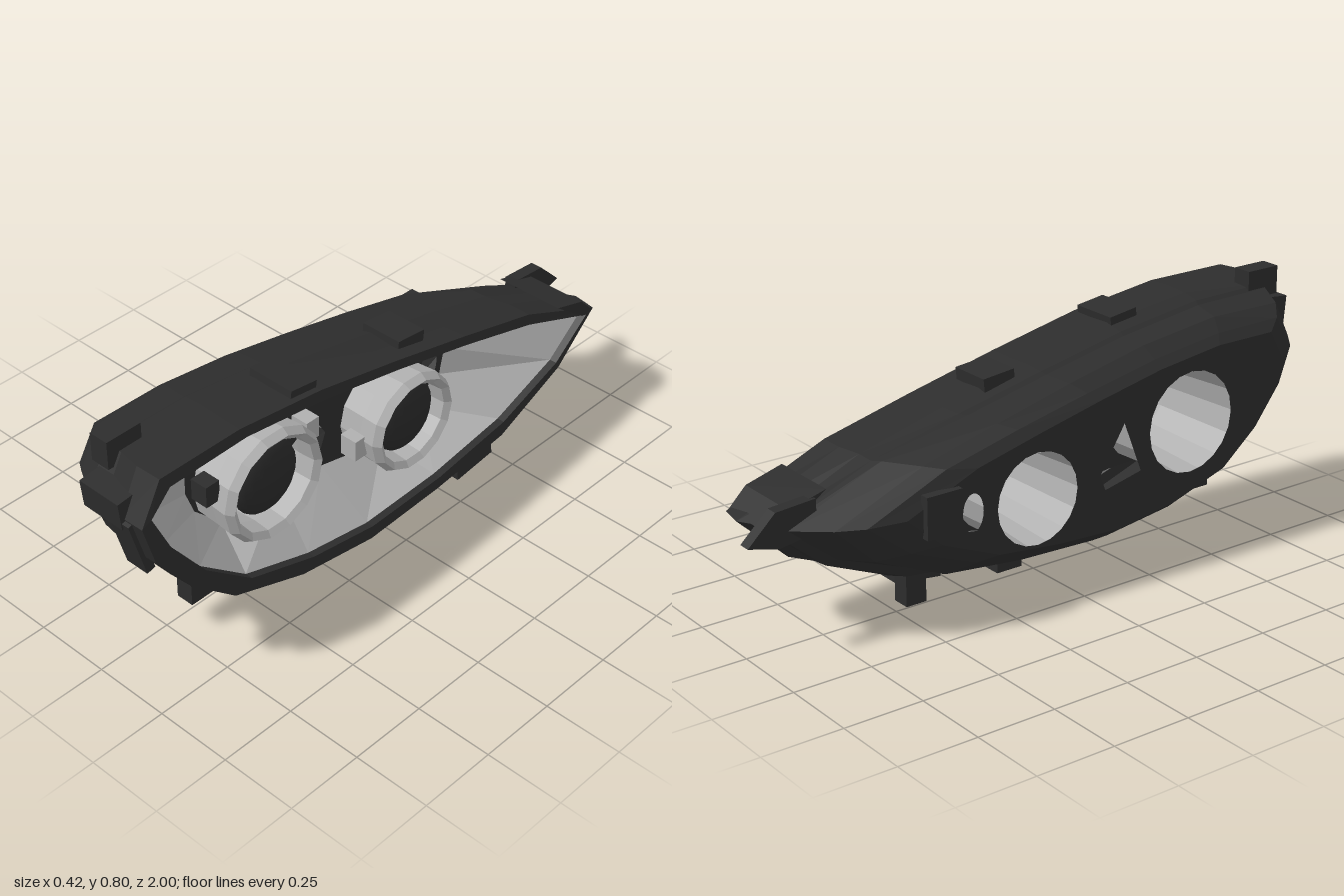
import * as THREE from 'three';

const mat = (name, color, flat = true) => {
  const m = new THREE.MeshStandardMaterial({ color, flatShading: flat, side: THREE.DoubleSide });
  m.name = name;
  return m;
};

// Outlines as [z, y], running from the nose along the top to the tail and back underneath
const OUTER = [[.98, .62], [.91, .75], [.62, .75], [.31, .71], [0, .645], [-.3, .575], [-.6, .5], [-.93, .36],
  [-.77, .21], [-.5, .09], [-.2, .055], [.1, .04], [.39, .085], [.66, .18], [.82, .32], [.94, .48]];
const OPENING = [[.95, .64], [.88, .71], [.6, .715], [.3, .675], [0, .615], [-.3, .545], [-.6, .465], [-.89, .355],
  [-.75, .24], [-.5, .145], [-.2, .1], [.1, .09], [.35, .13], [.6, .21], [.77, .35], [.89, .51]];
const FLOOR = [[.66, .57], [.62, .6], [.5, .63], [.27, .6], [0, .53], [-.22, .47], [-.38, .44], [-.43, .37],
  [-.41, .28], [-.33, .2], [-.15, .165], [.12, .225], [.3, .25], [.53, .26], [.63, .36], [.66, .44]];
// Lamp centres, the reflector radius at the back and the lip radius
const LAMPS = [{ z: .45, y: .43, r: .17, lip: .182 }, { z: -.13, y: .325, r: .152, lip: .165 }];
const GAP = [[.19, .485], [.255, .32], [.12, .29], [.1, .34]];

const at = (outline, x) => outline.map(([z, y]) => new THREE.Vector3(x, y, z));

// Joins matching rings of points with faceted quads; keep(i) selects segments
function loft(rings, keep = () => true) {
  const pos = [];
  for (let k = 0; k < rings.length - 1; k++) {
    const a = rings[k], b = rings[k + 1];
    for (let i = 0; i < a.length; i++) {
      if (!keep(i)) continue;
      const j = (i + 1) % a.length;
      for (const p of [a[i], b[i], a[j], a[j], b[i], b[j]]) pos.push(p.x, p.y, p.z);
    }
  }
  const g = new THREE.BufferGeometry();
  g.setAttribute('position', new THREE.Float32BufferAttribute(pos, 3));
  g.computeVertexNormals();
  return g;
}

const toShape = (pts, Kind = THREE.Shape) => new Kind(pts.map(([z, y]) => new THREE.Vector2(-z, y)));

// Plate in the side plane with the lamp holes and small gaps cut out
function plate(outline, x, holeScale) {
  const shape = toShape(outline);
  for (const l of LAMPS) {
    shape.holes.push(new THREE.Path().absarc(-l.z, l.y, l.r * holeScale, 0, Math.PI * 2));
  }
  shape.holes.push(toShape(GAP, THREE.Path));
  shape.holes.push(new THREE.Path().absellipse(.36, .34, .036, .06, 0, Math.PI * 2));
  return new THREE.ShapeGeometry(shape, 10).rotateY(Math.PI / 2).translate(x, 0, 0);
}

export function createModel() {
  const model = new THREE.Group();
  model.name = 'headlight';
  const black = mat('housing black', 0x2d2d2d);
  const graphite = mat('hood graphite', 0x3a3a3a);
  const silver = mat('reflector silver', 0xb0b0b0);
  const glass = mat('lens charcoal', 0x2a2a2a, false);
  const add = (name, geo, m, parent = model) => {
    const mesh = new THREE.Mesh(geo, m);
    mesh.name = name;
    parent.add(mesh);
    return mesh;
  };

  // Housing shell: straight near the opening, stepped in underneath, chamfered to the back.
  // Each section: x, then scale along z, above and below the middle, then unevenness seed
  const section = ([, sz, up, down, seed]) => OUTER.map(([z, y], i) => {
    const w = seed ? 1 + .012 * Math.sin(i * 5.3 + seed * 2.7) : 1;
    return [.38 + (z - .38) * sz * w, .4 + (y - .4) * (y > .4 ? up : down) * w];
  });
  const sections = [[.2, 1, 1, 1, 0], [.12, 1, 1, 1, 1], [.04, .99, 1, .97, 2], [-.02, .975, .97, .94, 3],
    [-.035, .95, .94, .86, 3], [-.125, .89, .9, .83, 4], [-.17, .82, .81, .75, 5], [-.195, .735, .72, .69, 0]];
  add('housingShell', loft(sections.map(s => at(section(s), s[0]))), black);
  add('housingBack', plate(section(sections[7]), -.195, .95), black);
  add('openingRim', loft([at(OUTER, .2), at(OPENING, .205), at(OPENING, .18)]), black);

  // Bezel: dark hood above, silver below and at both ends
  const isHood = i => i <= 5;
  const bezel = [at(OPENING, .18), at(FLOOR, .01)];
  add('bezelHood', loft(bezel, isHood), graphite);
  add('bezelReflector', loft(bezel, i => !isHood(i)), silver);
  add('bezelFloor', plate(FLOOR, .01, .98), black);

  // Lamps: faceted reflector cup with a front lip, floating lens and struts
  LAMPS.forEach((l, n) => {
    const lamp = new THREE.Group();
    lamp.name = n ? 'rearLamp' : 'frontLamp';
    lamp.position.set(0, l.y, l.z);
    model.add(lamp);
    const inner = l.lip - .034;
    const profile = [[l.r - .006, -.195], [inner - .004, .1], [inner, .155], [l.lip - .015, .17], [l.lip, .145],
      [l.lip - .004, .09], [l.r, -.195]].map(([r, x]) => new THREE.Vector2(r, x));
    const cup = new THREE.LatheGeometry(profile, 14).rotateZ(-Math.PI / 2).scale(1, 1, 1.04);
    add('reflectorCup', cup, silver, lamp);
    const lens = new THREE.SphereGeometry(.12, 20, 12).scale(.35, 1, 1);
    add('lens', lens, glass, lamp).position.set(.11, .008, 0);
    for (const a of [.9, 1.9, 2.6]) {
      const strut = add('lensStrut', new THREE.BoxGeometry(.03, .05, .04), black, lamp);
      strut.position.set(.09, Math.sin(a) * .13, Math.cos(a) * .13);
      strut.rotation.x = Math.PI / 2 - a;
    }
    // Side lugs behind the lip
    for (const s of [-1, 1]) {
      const dark = !n && s > 0;
      const lug = add('lipLug', new THREE.BoxGeometry(.06, .07, .05), dark ? black : silver, lamp);
      lug.position.set(.08, n ? -.02 : .06, s * (l.lip + .015));
    }
  });

  // Mounting tabs and clips: name, size [x, y, z], centre [x, y, z], tilt about x
  const blocks = [
    ['topFrontTab', [.065, .09, .12], [0, .75, .88], 0],
    ['noseBlock', [.15, .09, .08], [.06, .64, .958], .1],
    ['noseRib', [.08, .2, .03], [.12, .52, .952], .27],
    ['topClip', [.16, .05, .1], [.1, .715, .36], -.14],
    ['topClip', [.14, .05, .11], [.08, .622, -.115], -.1],
    ['lowerFrontTab', [.06, .14, .09], [.04, .165, .665], 0],
    ['lowerFrontTab', [.1, .05, .1], [.09, .098, .44], -.3],
    ['lowerClip', [.12, .05, .09], [.06, .045, -.09], 0],
    ['lowerRearTab', [.06, .1, .07], [.035, .05, -.425], 0],
    ['lowerRearClip', [.13, .05, .16], [.135, .065, -.37], .12],
    ['backPad', [.03, .13, .12], [-.2, .37, -.47], 0],
  ];
  for (const [name, size, pos, tilt] of blocks) {
    const b = add(name, new THREE.BoxGeometry(...size), black);
    b.position.set(...pos);
    b.rotation.x = tilt;
  }

  // Pointed tail: wide wedge with a thin spur beyond it
  const wedge = (pts, x, depth) => new THREE.ExtrudeGeometry(toShape(pts), { depth, bevelEnabled: false })
    .rotateY(Math.PI / 2).translate(x, 0, 0);
  add('tailWedge', wedge([[-.74, .455], [-.86, .42], [-.92, .36], [-.87, .36]], -.03, .235), black);
  add('tailSpur', wedge([[-.78, .44], [-.91, .43], [-1, .345], [-.9, .32], [-.78, .34]], -.04, .04), black);
  return model;
}
